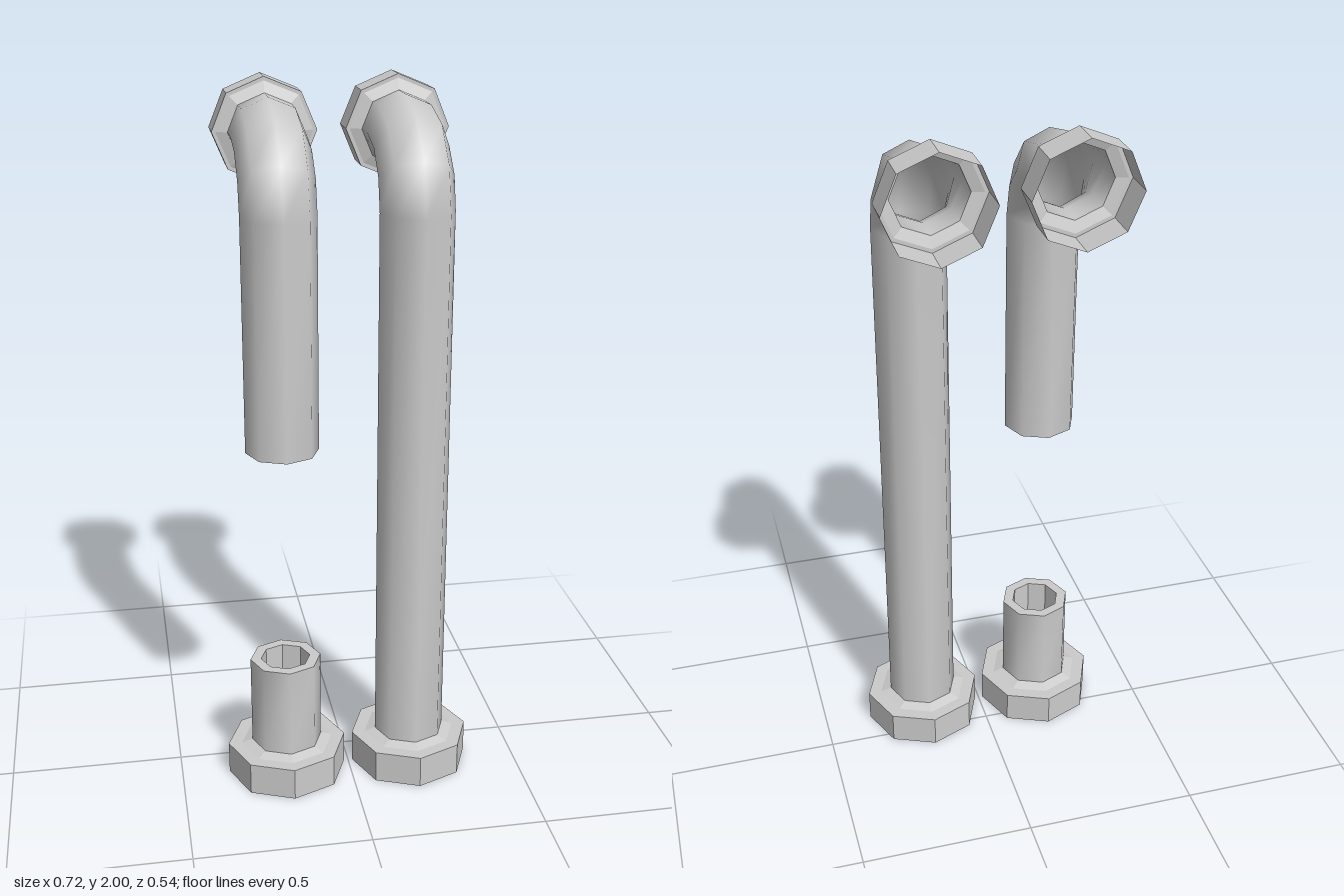
import * as THREE from 'three';

const SIDES = 8;
const PIPE_R = 0.103, BORE_R = 0.072;
const AXIS_Z = 0.097, PIPE_X = 0.186;
const BEND_R = 0.18, BEND_Y = 1.675, BEND_Z = AXIS_Z - BEND_R;

const smooth = new THREE.MeshStandardMaterial({ color: 0xcccccc, side: THREE.DoubleSide });
const faceted = new THREE.MeshStandardMaterial({ color: 0xcccccc, side: THREE.DoubleSide, flatShading: true });

// Skin a pipe over stations { y, z, t }, where t is the bend angle of the ring
function pipe(name, stations) {
  const pos = [], index = [];
  stations.forEach(({ y, z, t }, i) => {
    for (let j = 0; j < SIDES; j++) {
      const a = (j / SIDES) * Math.PI * 2, out = PIPE_R * Math.cos(a);
      pos.push(PIPE_R * Math.sin(a), y + out * Math.sin(t), z + out * Math.cos(t));
      if (i === 0) continue;
      const k = (j + 1) % SIDES, lo = (i - 1) * SIDES, hi = i * SIDES;
      index.push(lo + j, lo + k, hi + k, lo + j, hi + k, hi + j);
    }
  });
  const geo = new THREE.BufferGeometry();
  geo.setAttribute('position', new THREE.Float32BufferAttribute(pos, 3));
  geo.setIndex(index);
  geo.computeVertexNormals();
  const mesh = new THREE.Mesh(geo, smooth);
  mesh.name = name;
  return mesh;
}

// Riser from a given height, through the elbow, to the wall collar
function elbowPipe(name, bottom) {
  const stations = [{ y: bottom, z: AXIS_Z, t: 0 }];
  for (let i = 0; i <= 3; i++) {
    const t = (i / 3) * Math.PI / 2;
    stations.push({ y: BEND_Y + BEND_R * Math.sin(t), z: BEND_Z + BEND_R * Math.cos(t), t });
  }
  stations.push({ y: BEND_Y + BEND_R, z: -0.167, t: Math.PI / 2 });
  return pipe(name, stations);
}

function turned(name, profile) {
  const points = profile.map(([r, y]) => new THREE.Vector2(r, y));
  const mesh = new THREE.Mesh(new THREE.LatheGeometry(points, SIDES), faceted);
  mesh.name = name;
  return mesh;
}

// Hollow collar, open at its outer end, with a shallow cone up to the pipe
function collar(name, radius, height) {
  return turned(name, [[radius, 0], [radius, height], [0.135, height], [PIPE_R, height + 0.01]]);
}

// Wall thickness shown at a cut end; depth is signed along y
function cutRim(name, y, depth) {
  const rim = turned(name, [[PIPE_R, y], [BORE_R, y], [BORE_R, y + depth]]);
  rim.position.z = AXIS_Z;
  return rim;
}

function downpipe(name, x) {
  const group = new THREE.Group();
  group.name = name;
  group.position.x = x;

  const base = collar('baseCollar', 0.174, 0.095);
  base.position.z = AXIS_Z;

  const top = collar('wallCollar', 0.146, 0.096);
  top.rotation.x = Math.PI / 2;
  top.position.set(0, BEND_Y + BEND_R, -0.273);

  group.add(base, top);
  return group;
}

export function createModel() {
  const model = new THREE.Group();
  model.name = 'pipes';

  // Complete pipe
  const whole = downpipe('wholePipe', PIPE_X);
  whole.add(elbowPipe('pipe', 0.105));

  // Broken pipe with its middle missing
  const broken = downpipe('brokenPipe', -PIPE_X);
  broken.add(
    elbowPipe('upperPipe', 1.02),
    cutRim('upperCutRim', 1.02, 0.12),
    pipe('lowerStub', [{ y: 0.105, z: AXIS_Z, t: 0 }, { y: 0.373, z: AXIS_Z, t: 0 }]),
    cutRim('lowerCutRim', 0.373, -0.12)
  );

  model.add(whole, broken);
  return model;
}
